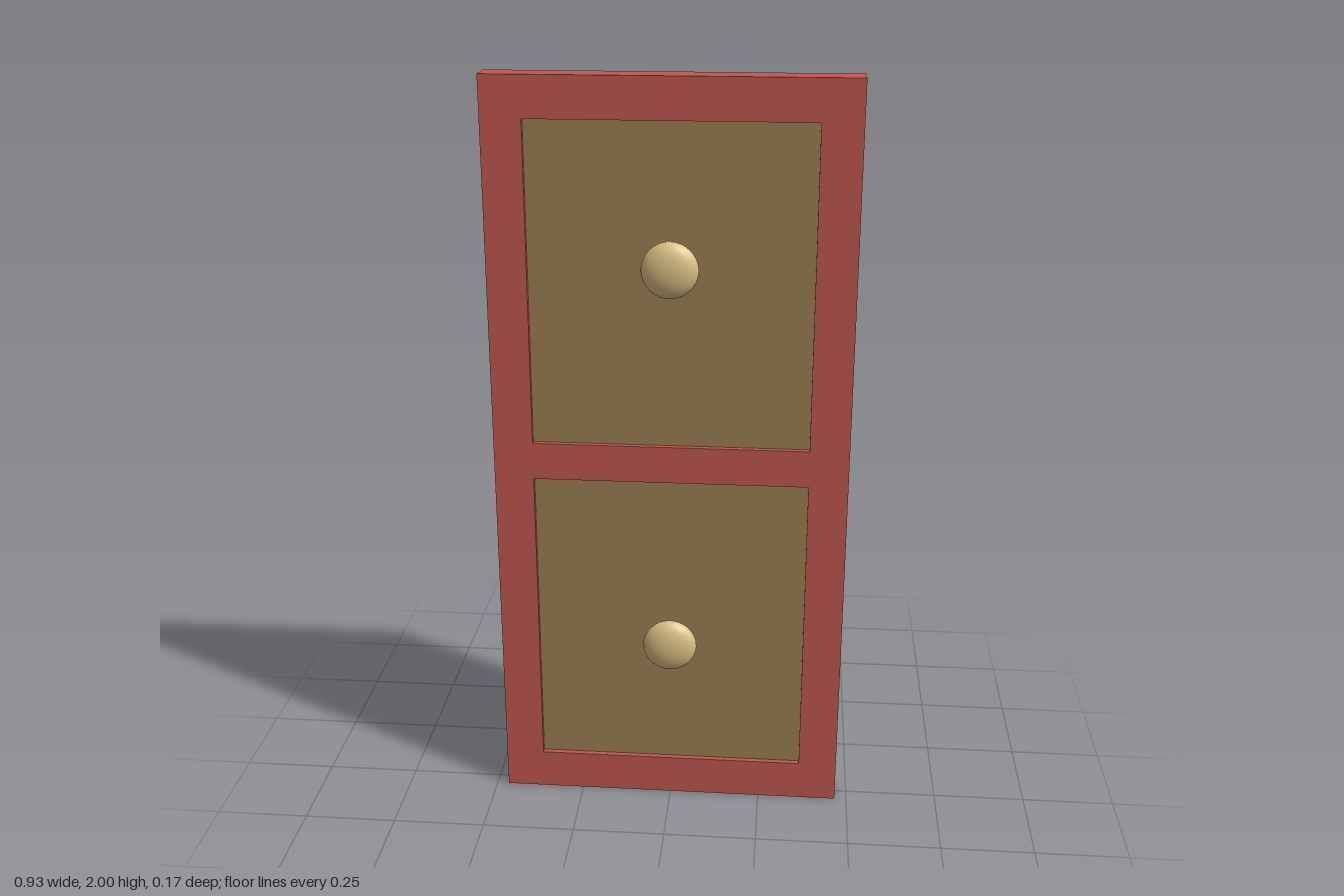
import * as THREE from 'three';

export function createModel() {
  const model = new THREE.Group();
  model.name = 'panelledDoor';

  const red = new THREE.MeshStandardMaterial({ color: 0xc05850 });
  red.name = 'red frame';
  const tan = new THREE.MeshStandardMaterial({ color: 0x9c7f52 });
  tan.name = 'tan panel';
  const gold = new THREE.MeshStandardMaterial({ color: 0xd9bf83 });
  gold.name = 'pale gold knob';

  const add = (name, geometry, material, x, y, z) => {
    const mesh = new THREE.Mesh(geometry, material);
    mesh.name = name;
    mesh.position.set(x, y, z);
    model.add(mesh);
    return mesh;
  };

  const W = 0.467, H = 2, T = 0.08;              // half width, height, thickness
  const panelX = 0.363, panelH = 0.842;
  const panelY = [0.531, 1.473];                 // panel centres
  const knobY = [0.477, 1.528];

  // Frame with two openings
  const outline = new THREE.Shape([
    new THREE.Vector2(-W, 0), new THREE.Vector2(W, 0),
    new THREE.Vector2(W, H), new THREE.Vector2(-W, H),
  ]);
  for (const y of panelY) {
    const a = y - panelH / 2, b = y + panelH / 2;
    outline.holes.push(new THREE.Path([
      new THREE.Vector2(-panelX, a), new THREE.Vector2(-panelX, b),
      new THREE.Vector2(panelX, b), new THREE.Vector2(panelX, a),
    ]));
  }
  const frame = new THREE.ExtrudeGeometry(outline, { depth: T, bevelEnabled: false });
  add('frame', frame, red, 0, 0, -T / 2);

  // Recessed panels
  const panel = new THREE.BoxGeometry(panelX * 2, panelH, 0.05);
  panelY.forEach((y, i) => add(i ? 'upperPanel' : 'lowerPanel', panel, tan, 0, y, 0));

  // Flattened knobs on both faces
  const knob = new THREE.SphereGeometry(1, 24, 16).scale(0.073, 0.073, 0.034);
  for (const side of [1, -1]) {
    knobY.forEach((y, i) => add(
      (i ? 'upper' : 'lower') + (side > 0 ? 'FrontKnob' : 'BackKnob'),
      knob, gold, 0, y, side * 0.051));
  }
  return model;
}
